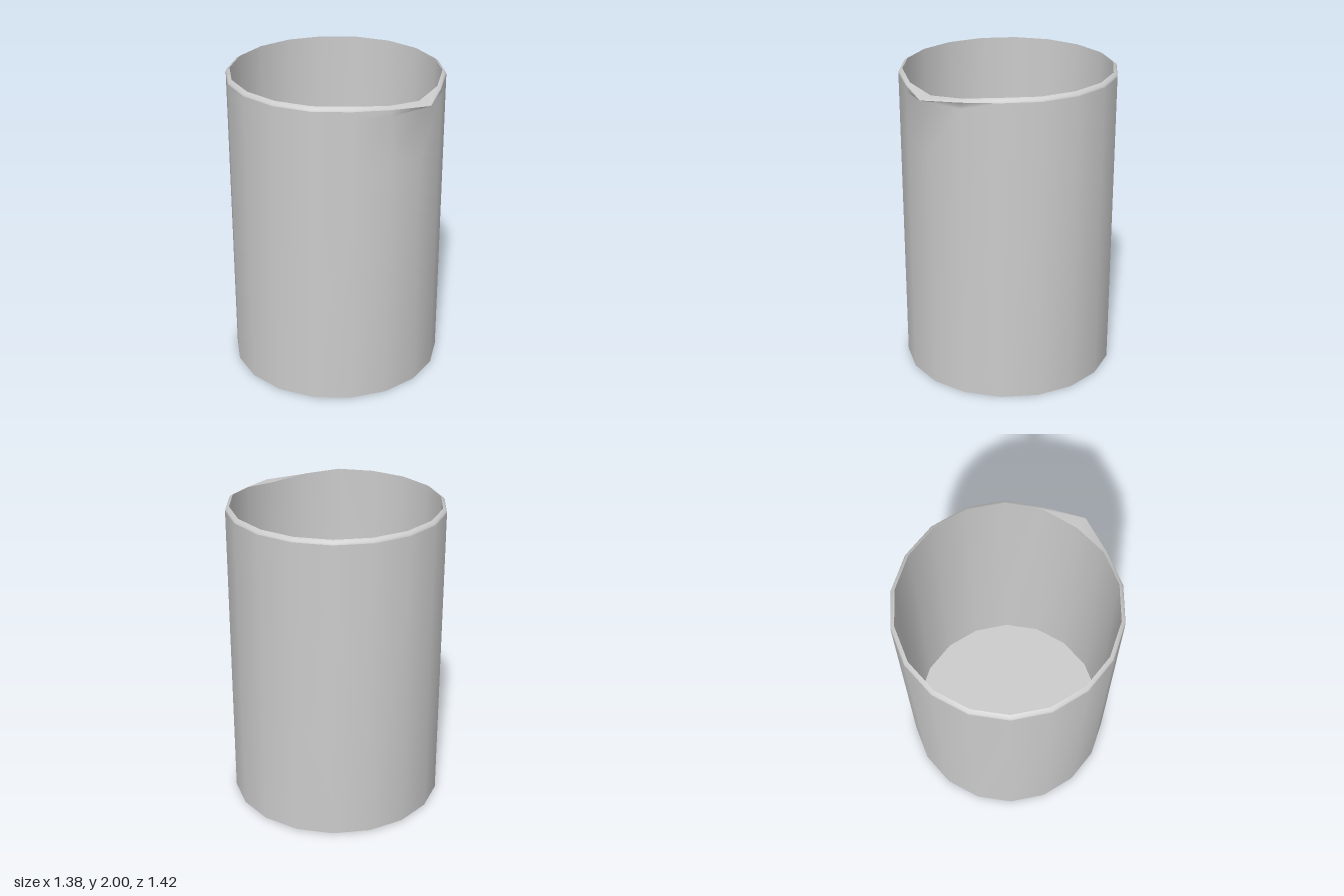
import * as THREE from 'three';

const SIDES = 18;
const SPOUT = 4;          // index of the corner pulled out into the spout
const CENTER_Z = -0.035;  // the spout tip shifts the body slightly back

// Smooth band through rings of { r, y, reach, dip }; reach and dip shape the spout corner
function band(name, rings, material) {
  const positions = [], index = [];
  rings.forEach(({ r, y, reach = 0, dip = 0 }, i) => {
    for (let j = 0; j < SIDES; j++) {
      const a = (j / SIDES) * Math.PI * 2;
      const step = Math.abs(j - SPOUT);
      const radius = r + (step === 0 ? reach : 0);
      const drop = dip * Math.max(0, 1 - step / 2);
      positions.push(Math.cos(a) * radius, y - drop, Math.sin(a) * radius + CENTER_Z);
      if (i === 0) continue;
      const k = (j + 1) % SIDES, lo = (i - 1) * SIDES, hi = i * SIDES;
      if (rings[i - 1].r > 0) index.push(lo + j, hi + j, lo + k);
      if (r > 0) index.push(lo + k, hi + j, hi + k);
    }
  });
  const geometry = new THREE.BufferGeometry();
  geometry.setAttribute('position', new THREE.Float32BufferAttribute(positions, 3));
  geometry.setIndex(index);
  geometry.computeVertexNormals();
  const mesh = new THREE.Mesh(geometry, material);
  mesh.name = name;
  return mesh;
}

export function createModel() {
  const group = new THREE.Group();
  group.name = 'beaker';
  const material = new THREE.MeshStandardMaterial({ color: 0xcccccc });

  // Rim rings shared by the wall, the bevel and the inside
  const outerLip = { r: 0.69, y: 1.975, reach: 0.065, dip: 0.03 };
  const bevel = { r: 0.685, y: 1.988, reach: 0.065, dip: 0.038 };
  const innerLip = { r: 0.665, y: 2, dip: 0.045 };
  const floorEdge = { r: 0.665, y: 0.03 };

  group.add(
    band('base', [{ r: 0, y: 0 }, { r: 0.69, y: 0 }], material),
    band('outerWall', [
      { r: 0.69, y: 0 }, { r: 0.69, y: 1.6 }, { r: 0.69, y: 1.92 }, outerLip,
    ], material),
    band('rim', [outerLip, bevel, innerLip], material),
    band('innerWall', [innerLip, floorEdge], material),
    band('floor', [floorEdge, { r: 0, y: 0.03 }], material),
  );
  return group;
}
